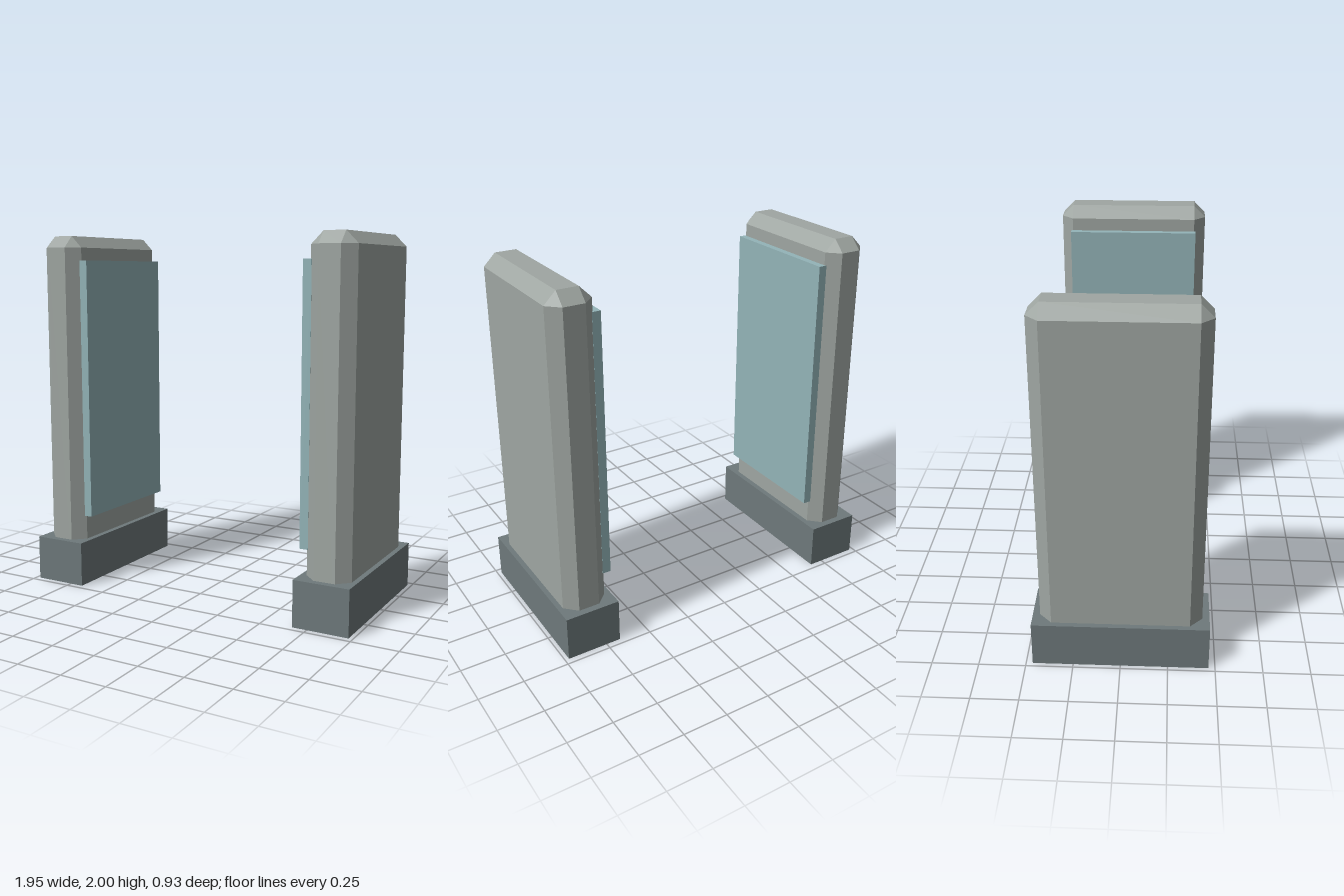
import * as THREE from 'three';
import { ConvexGeometry } from 'three/addons/geometries/ConvexGeometry.js';

const material = (color) => new THREE.MeshStandardMaterial({ color, flatShading: true });
const stone = material(0x9fa6a2);
const darkStone = material(0x6e797b);
const paleBlue = material(0x93b4b8);

// Box with every edge cut by a flat chamfer: three points at each corner
function chamferedBox(w, h, d, c) {
  const points = [];
  for (const sx of [-1, 1]) for (const sy of [-1, 1]) for (const sz of [-1, 1]) {
    const x = w / 2, y = h / 2, z = d / 2;
    points.push(
      new THREE.Vector3(sx * x, sy * (y - c), sz * (z - c)),
      new THREE.Vector3(sx * (x - c), sy * y, sz * (z - c)),
      new THREE.Vector3(sx * (x - c), sy * (y - c), sz * z));
  }
  return new ConvexGeometry(points);
}

function addPart(parent, name, geometry, mat, x, y) {
  const mesh = new THREE.Mesh(geometry, mat);
  mesh.name = name;
  mesh.position.set(x, y, 0);
  parent.add(mesh);
}

export function createModel() {
  const model = new THREE.Group();
  model.name = 'gate';

  const plinth = new THREE.BoxGeometry(0.308, 0.252, 0.93);
  const pillar = chamferedBox(0.247, 1.99, 0.853, 0.065);
  const panel = new THREE.BoxGeometry(0.047, 1.474, 0.74);

  // Mirrored pillars, each with a panel facing the passage
  for (const side of [-1, 1]) {
    const post = new THREE.Group();
    post.name = side > 0 ? 'leftPost' : 'rightPost';
    addPart(post, 'plinth', plinth, darkStone, side * 0.823, 0.126);
    addPart(post, 'pillar', pillar, stone, side * 0.825, 1.005);
    addPart(post, 'innerPanel', panel, paleBlue, side * 0.6855, 1.127);
    model.add(post);
  }
  return model;
}
